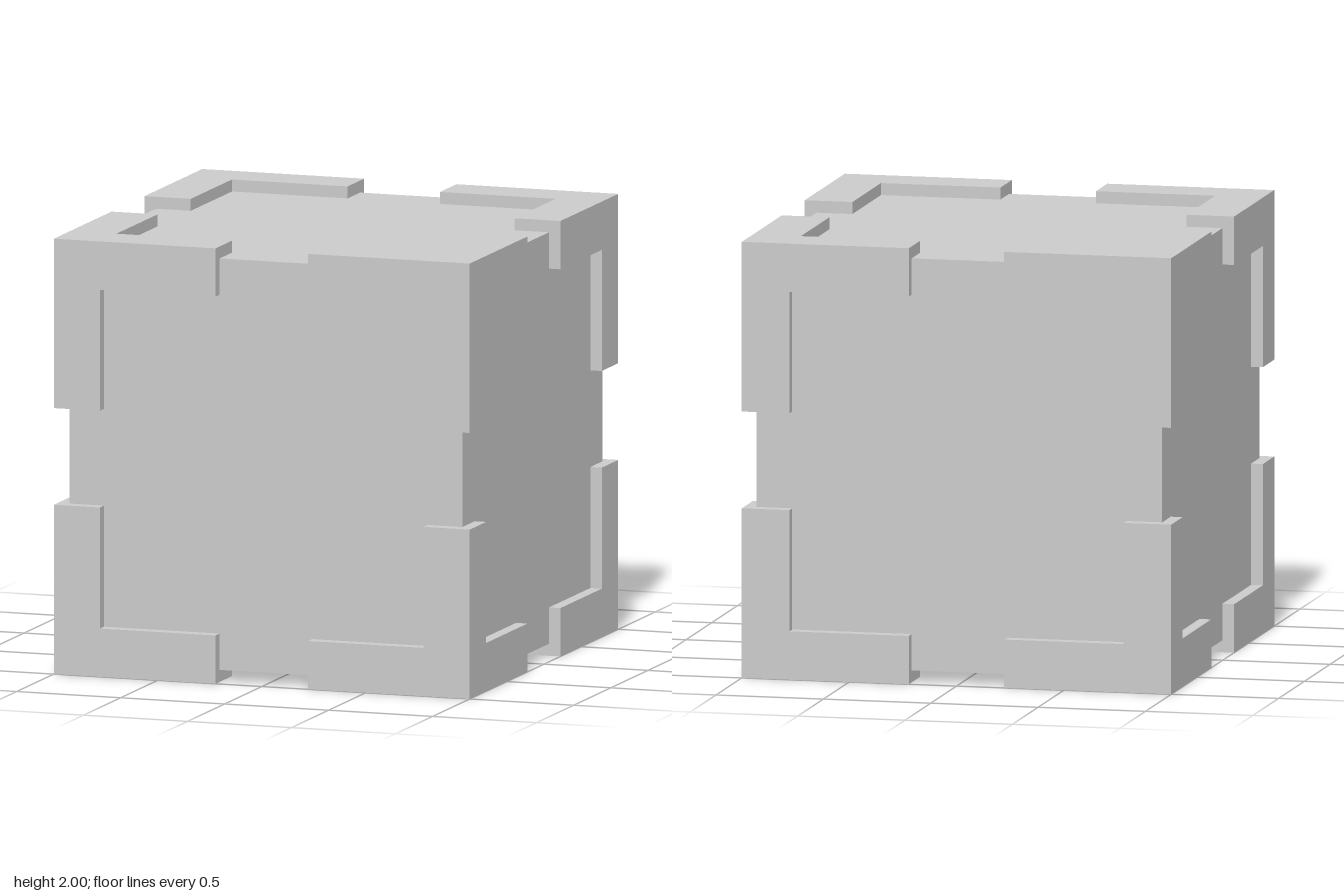
import * as THREE from 'three';

const HALF = 1;        // half size over the brackets
const CORE = 1.89;     // edge of the inner cube
const WIDTH = 0.222;   // bracket arm thickness
const REACH = 0.778;   // bracket arm length measured from the corner

export function createModel() {
  const model = new THREE.Group();
  model.name = 'crate';
  const material = new THREE.MeshStandardMaterial({ color: 0xcccccc, flatShading: true });

  const addBox = (parent, name, size, position) => {
    const mesh = new THREE.Mesh(new THREE.BoxGeometry(...size), material);
    mesh.name = name;
    mesh.position.set(...position);
    parent.add(mesh);
  };

  // Inner cube
  addBox(model, 'core', [CORE, CORE, CORE], [0, HALF, 0]);

  // Three-armed bracket on each of the eight corners
  const block = HALF - WIDTH / 2;
  const armLength = REACH - WIDTH;
  const armCentre = HALF - WIDTH - armLength / 2;
  for (const sx of [-1, 1]) for (const sy of [-1, 1]) for (const sz of [-1, 1]) {
    const signs = [sx, sy, sz];
    const bracket = new THREE.Group();
    bracket.name = `${sy > 0 ? 'top' : 'bottom'}${sz > 0 ? 'Front' : 'Back'}${sx > 0 ? 'Left' : 'Right'}Bracket`;
    bracket.position.y = HALF;
    addBox(bracket, 'cornerBlock', [WIDTH, WIDTH, WIDTH], signs.map((s) => s * block));

    // One arm along each axis, running from the corner block towards the middle of the edge
    ['armX', 'armY', 'armZ'].forEach((name, axis) => {
      const size = signs.map((_, i) => (i === axis ? armLength : WIDTH));
      const position = signs.map((s, i) => s * (i === axis ? armCentre : block));
      addBox(bracket, name, size, position);
    });
    model.add(bracket);
  }
  return model;
}
